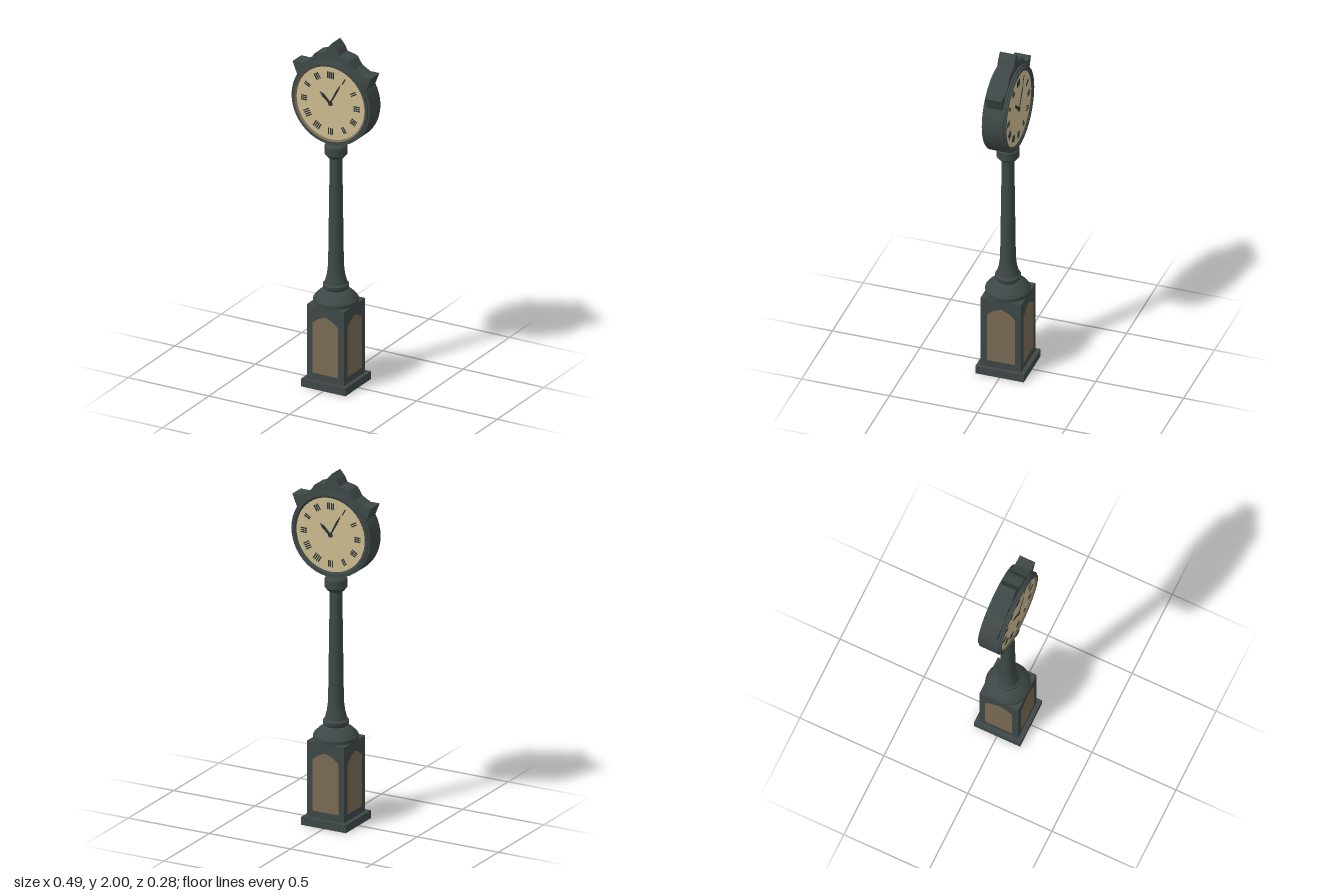
import * as THREE from 'three';
import { toCreasedNormals } from 'three/addons/utils/BufferGeometryUtils.js';

function material(name, color) {
  const m = new THREE.MeshStandardMaterial({ color });
  m.name = name;
  return m;
}

export function createModel() {
  const metal = material('dark iron', 0x3e4747);
  const ivory = material('ivory dial', 0xcdbb90);
  const brown = material('brown panel', 0x7a6a54);
  const ink = material('dial ink', 0x2b3335);

  const model = new THREE.Group();
  model.name = 'streetClock';

  function add(parent, name, geometry, mat, x = 0, y = 0, z = 0) {
    const mesh = new THREE.Mesh(geometry, mat);
    mesh.name = name;
    mesh.position.set(x, y, z);
    parent.add(mesh);
    return mesh;
  }
  const lathe = (points, sides) => toCreasedNormals(
    new THREE.LatheGeometry(points.map(([r, y]) => new THREE.Vector2(r, y)), sides), 0.6);
  const shapeOf = (points) => new THREE.Shape(points.map(([x, y]) => new THREE.Vector2(x, y)));

  // Square pedestal
  add(model, 'basePlinth', new THREE.BoxGeometry(0.276, 0.045, 0.276), metal, 0, 0.0225, 0);
  add(model, 'pedestal', new THREE.BoxGeometry(0.23, 0.432, 0.23), metal, 0, 0.261, 0);

  // Pointed-arch panel on each pedestal side
  const panelGeometry = new THREE.ShapeGeometry(shapeOf([
    [-0.08, 0.085], [0.08, 0.085], [0.08, 0.376], [0.045, 0.405],
    [0, 0.424], [-0.045, 0.405], [-0.08, 0.376]]));
  for (let i = 0; i < 4; i++) {
    const side = new THREE.Group();
    side.name = 'pedestalPanel';
    side.rotation.y = i * Math.PI / 2;
    add(side, 'panel', panelGeometry, brown, 0, 0, 0.1165);
    model.add(side);
  }

  // Turned column from dome to cap
  add(model, 'column', lathe([
    [0, 0.468], [0.122, 0.468], [0.124, 0.498], [0.115, 0.512], [0.097, 0.53], [0.075, 0.548],
    [0.062, 0.554], [0.07, 0.565], [0.071, 0.582], [0.06, 0.592], [0.057, 0.61],
    [0.049, 0.64], [0.044, 0.68], [0.042, 0.74], [0.034, 1.32],
    [0.042, 1.32], [0.062, 1.343], [0.062, 1.388], [0.055, 1.398], [0, 1.398]], 24), metal);

  // Round clock head
  const head = new THREE.Group();
  head.name = 'clockHead';
  head.position.y = 1.655;
  model.add(head);
  const drum = add(head, 'drum', lathe([
    [0.22, -0.068], [0.233, -0.068], [0.233, -0.057], [0.243, -0.057],
    [0.243, 0.057], [0.233, 0.057], [0.233, 0.068], [0.22, 0.068]], 48), metal);
  drum.rotation.x = Math.PI / 2;

  // Number of bars in each hour mark, from one o'clock to twelve
  const bars = [1, 2, 3, 3, 2, 3, 4, 4, 3, 2, 3, 4];
  const barGeometry = new THREE.BoxGeometry(0.0065, 0.038, 0.002);

  function addHand(dial, name, degrees, length, width, z) {
    const pivot = new THREE.Group();
    pivot.name = name;
    pivot.rotation.z = -THREE.MathUtils.degToRad(degrees);
    add(pivot, 'blade', new THREE.ExtrudeGeometry(shapeOf([
      [-width * 0.3, -0.015], [width * 0.3, -0.015], [width * 0.5, length * 0.7],
      [0, length], [-width * 0.5, length * 0.7]]),
    { depth: 0.002, bevelEnabled: false }), ink, 0, 0, z);
    dial.add(pivot);
  }

  // Matching dials on front and back
  for (const back of [false, true]) {
    const dial = new THREE.Group();
    dial.name = back ? 'backDial' : 'frontDial';
    dial.rotation.y = back ? Math.PI : 0;
    head.add(dial);
    const ring = add(dial, 'innerBezel',
      lathe([[0.22, 0.068], [0.209, 0.058]], 48), back ? metal : brown);
    ring.rotation.x = Math.PI / 2;
    add(dial, 'dialFace', new THREE.CircleGeometry(0.211, 48), ivory, 0, 0, 0.059);
    bars.forEach((count, i) => {
      const mark = new THREE.Group();
      mark.name = 'hourMark';
      mark.rotation.z = -(i + 1) * Math.PI / 6;
      for (let k = 0; k < count; k++) {
        add(mark, 'bar', barGeometry, ink, (k - (count - 1) / 2) * 0.0115, 0.164, 0.06);
      }
      dial.add(mark);
    });
    addHand(dial, 'hourHand', 312, 0.087, 0.019, 0.061);
    addHand(dial, 'minuteHand', 28, 0.14, 0.012, 0.063);
    const hub = add(dial, 'hub', new THREE.CylinderGeometry(0.012, 0.012, 0.007, 20), ink, 0, 0, 0.063);
    hub.rotation.x = Math.PI / 2;
  }

  // Peaked crown with a horn at each side
  const half = [[0.213, 1.77], [0.243, 1.845], [0.187, 1.845], [0.138, 1.872],
    [0.108, 1.918], [0.09, 1.925], [0.045, 1.934], [0.03, 1.965]];
  const mirrored = half.map(([x, y]) => [-x, y]).reverse();
  add(model, 'crown', new THREE.ExtrudeGeometry(
    shapeOf([...half, [0, 2], ...mirrored]), { depth: 0.092, bevelEnabled: false }),
  metal, 0, 0, -0.046);

  return model;
}
